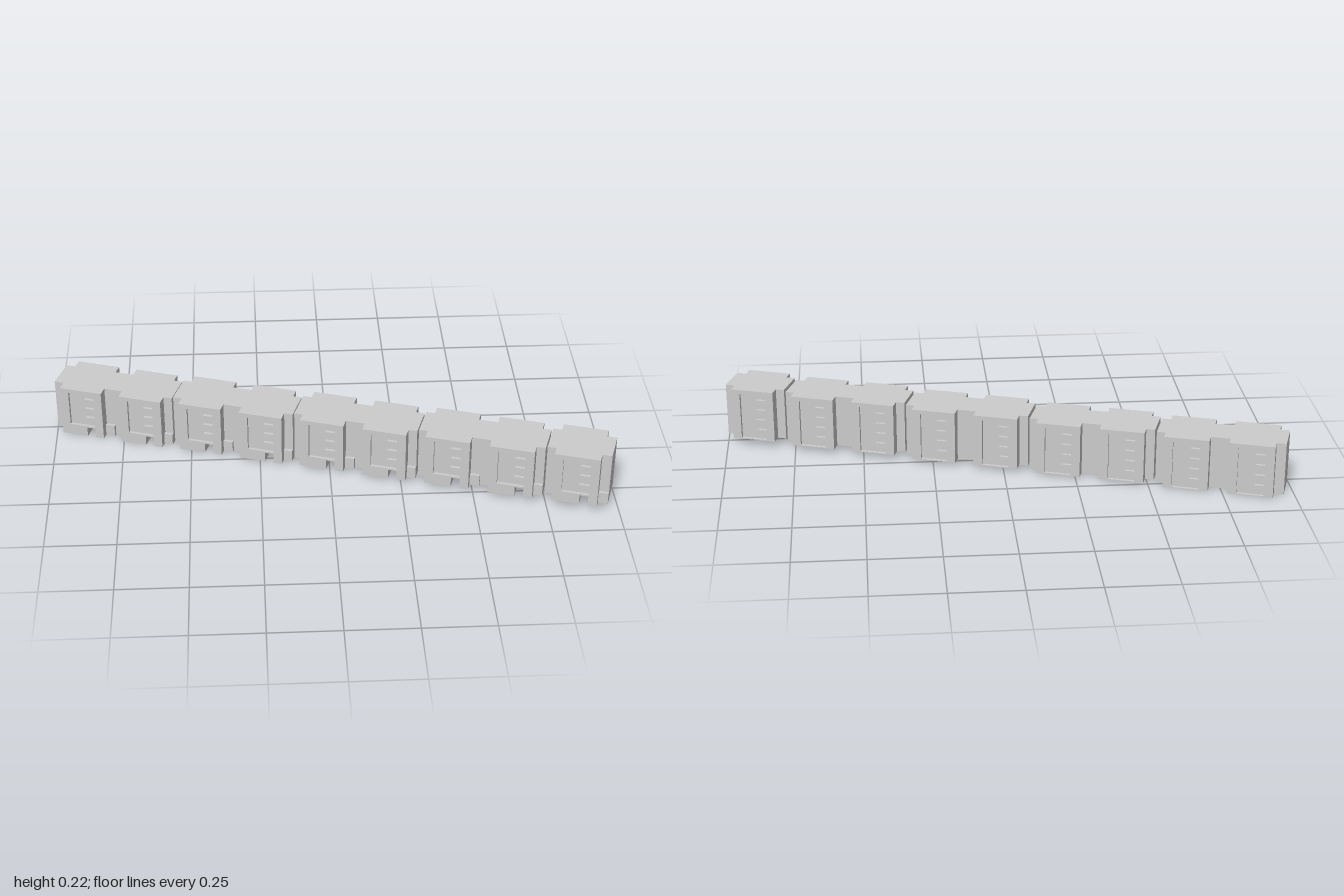
import * as THREE from 'three';

const SECTIONS = 9, PITCH = 0.229, HEIGHT = 0.194, STEP = 0.0067;
const BODY = 0.06, BAY = 0.098, INSET = 0.011, BAY_HALF = 0.08;
const FLOOR = 0.0388, ROW = 0.019, TOP_ROW = 0.159;
const mat = new THREE.MeshStandardMaterial({ color: 0xcccccc, flatShading: true });

// Comb-shaped loggia recess: continuous spine with one finger per floor
function combHole(rows) {
  const path = new THREE.Path();
  const bottom = TOP_ROW - FLOOR * (rows - 1);
  path.moveTo(-0.048, bottom);
  for (let i = 0; i < rows; i++) {
    const y = bottom + i * FLOOR;
    if (i > 0) path.lineTo(0.013, y);
    path.lineTo(0.048, y);
    path.lineTo(0.048, y + ROW);
    path.lineTo(0.013, y + ROW);
  }
  path.lineTo(-0.048, TOP_ROW + ROW);
  path.closePath();
  return path;
}

// Upright slab from depth z0 to z1, optionally with an entrance notch and a recess
function slab(name, x0, x1, z0, z1, { notch = false, hole = null } = {}) {
  const s = new THREE.Shape();
  s.moveTo(x0, 0);
  if (notch) {
    s.lineTo(0.017, 0);
    s.lineTo(0.017, 0.037);
    s.lineTo(0.048, 0.037);
    s.lineTo(0.048, 0);
  }
  s.lineTo(x1, 0);
  s.lineTo(x1, HEIGHT);
  s.lineTo(x0, HEIGHT);
  s.closePath();
  if (hole) s.holes.push(hole);
  const geo = new THREE.ExtrudeGeometry(s, { depth: z1 - z0, bevelEnabled: false });
  geo.translate(0, 0, z0);
  const mesh = new THREE.Mesh(geo, mat);
  mesh.name = name;
  return mesh;
}

function buildSection(gapLeft, gapRight) {
  const g = new THREE.Group();
  const x0 = -PITCH / 2 + gapRight, x1 = PITCH / 2 - gapLeft;
  const b = BAY_HALF, face = BAY - INSET;

  // Main body, with the entrance cut into its front
  g.add(slab('body', x0, x1, -BODY, 0.045));
  g.add(slab('bodyFront', x0, x1, 0.045, BODY, { notch: true }));

  // Front bay: entrance below, four floors of loggias above
  g.add(slab('frontBay', -b, b, BODY, face, { notch: true }));
  g.add(slab('frontLoggias', -b, b, face, BAY, { notch: true, hole: combHole(4) }));

  // Back bay: five floors of loggias, turned half round
  const back = new THREE.Group();
  back.name = 'backBay';
  back.rotation.y = Math.PI;
  back.add(slab('backBayCore', -b, b, BODY, face));
  back.add(slab('backLoggias', -b, b, face, BAY, { hole: combHole(5) }));
  g.add(back);

  // Low porch in the recess beside the front bay
  const porch = new THREE.Mesh(new THREE.BoxGeometry(x1 - b, 0.043, 0.012), mat);
  porch.position.set((x1 + b) / 2, 0.0215, BODY + 0.006);
  porch.name = 'porch';
  g.add(porch);
  return g;
}

export function createModel() {
  const model = new THREE.Group();
  model.name = 'apartmentBlock';
  model.rotation.y = -THREE.MathUtils.degToRad(17.8);

  // Sections stand in pairs, each pair a step higher with a narrow joint between
  for (let i = 0; i < SECTIONS; i++) {
    const odd = i % 2 === 1;
    const section = buildSection(odd ? 0.003 : 0, !odd && i > 0 ? 0.003 : 0);
    section.name = 'section' + (i + 1);
    section.position.set((i - (SECTIONS - 1) / 2) * PITCH, Math.floor(i / 2) * STEP, 0);
    model.add(section);
  }

  const root = new THREE.Group();
  root.name = 'model';
  root.add(model);
  return root;
}
